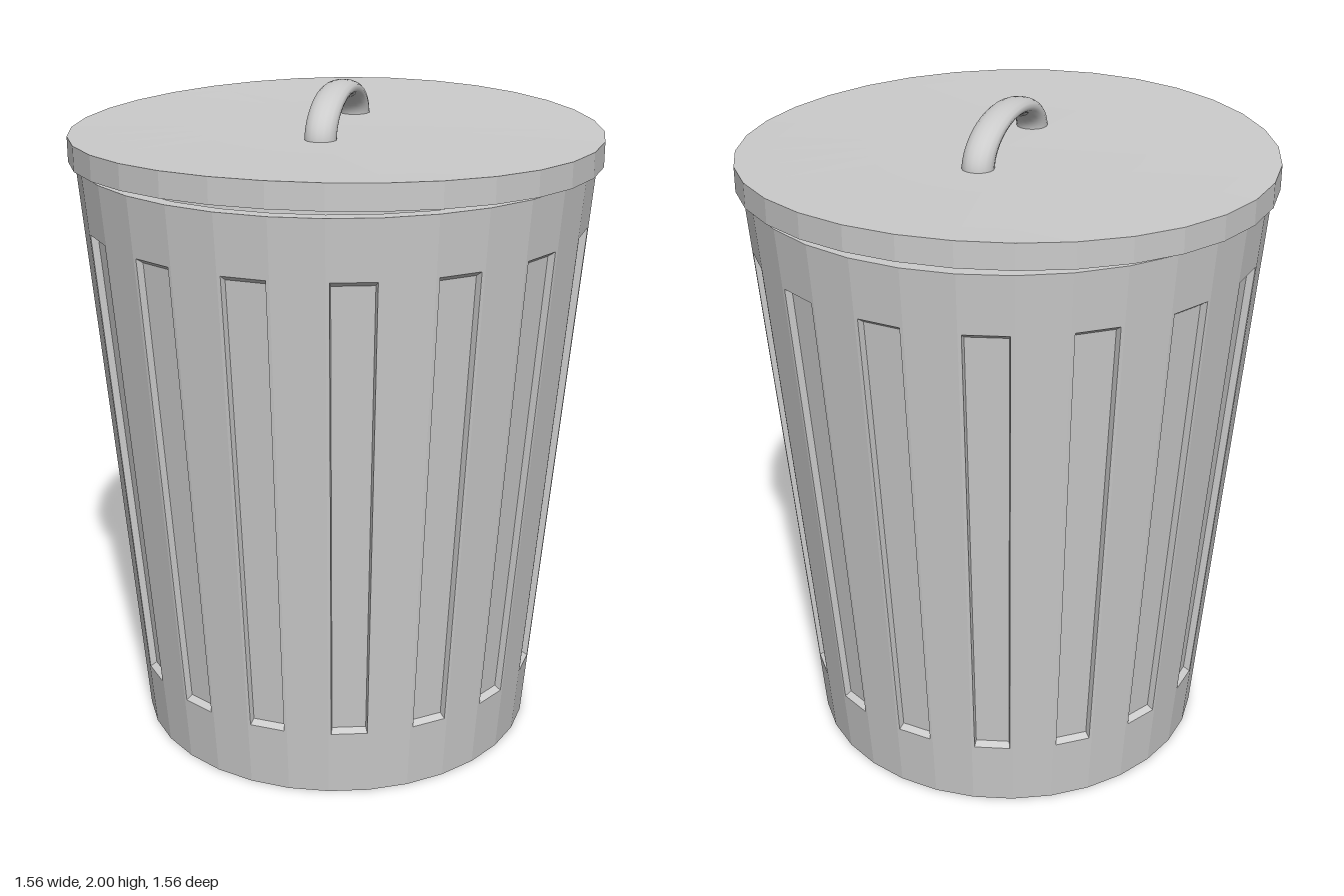
import * as THREE from 'three';

const SIDES = 32, BODY_H = 1.785, R_BOTTOM = 0.61, R_TOP = 0.76;

const flat = () => new THREE.MeshStandardMaterial({ color: 0xcccccc, flatShading: true });

function addMesh(parent, name, geometry, material) {
  const mesh = new THREE.Mesh(geometry, material);
  mesh.name = name;
  parent.add(mesh);
  return mesh;
}

const lathe = (points) =>
  new THREE.LatheGeometry(points.map(([r, y]) => new THREE.Vector2(r, y)), SIDES);

// Tapered wall of flat facets; every second facet holds a bevelled recess
function wallGeometry() {
  const out = [];
  const step = (Math.PI * 2) / SIDES;
  // Point on facet i: u across it, y up it, sunk inwards by depth
  const point = (i, u, y, depth = 0) => {
    const r = THREE.MathUtils.lerp(R_BOTTOM, R_TOP, y / BODY_H);
    const a = i * step, b = a + step, mid = a + step / 2;
    return [
      r * THREE.MathUtils.lerp(Math.cos(a), Math.cos(b), u) - depth * Math.cos(mid), y,
      r * THREE.MathUtils.lerp(Math.sin(a), Math.sin(b), u) - depth * Math.sin(mid),
    ];
  };
  const quad = (a, b, c, d) => out.push(...a, ...b, ...c, ...a, ...c, ...d);
  // Corners of a rectangle on a facet, counter-clockwise from outside
  const rect = (i, u0, u1, y0, y1, depth) => [
    point(i, u1, y0, depth), point(i, u0, y0, depth),
    point(i, u0, y1, depth), point(i, u1, y1, depth),
  ];
  const bridge = (p, q) => {
    for (let k = 0; k < 4; k++) {
      const n = (k + 1) % 4;
      quad(p[k], p[n], q[n], q[k]);
    }
  };
  for (let i = 0; i < SIDES; i++) {
    const edge = rect(i, 0, 1, 0, BODY_H);
    if (i % 2) {
      quad(...edge);
      continue;
    }
    const opening = rect(i, 0.07, 0.93, 0.205, 1.612);
    const floor = rect(i, 0.1, 0.9, 0.217, 1.597, 0.02);
    bridge(edge, opening);
    bridge(opening, floor);
    quad(...floor);
  }
  const g = new THREE.BufferGeometry();
  g.setAttribute('position', new THREE.Float32BufferAttribute(out, 3));
  g.computeVertexNormals();
  return g;
}

// Flat lid, slightly warped: lower towards the sides, higher at front and back
function lidGeometry() {
  const R = 0.78, low = 1.798, high = 1.871;
  const g = lathe([[0, low], [0.4, low], [R, low], [R, high], [0.68, high], [0.4, high], [0, high]]);
  const p = g.attributes.position;
  for (let i = 0; i < p.count; i++) {
    const x = p.getX(i), z = p.getZ(i);
    p.setY(i, p.getY(i) + (0.011 * (z * z - x * x)) / (R * R));
  }
  g.computeVertexNormals();
  return g;
}

export function createModel() {
  const model = new THREE.Group();
  model.name = 'trashCan';

  const body = new THREE.Group();
  body.name = 'body';
  model.add(body);
  addMesh(body, 'wall', wallGeometry(), flat());
  addMesh(body, 'base', lathe([[0, 0], [R_BOTTOM, 0]]), flat());
  addMesh(body, 'rimAndInside',
    lathe([[R_TOP, BODY_H], [0.72, BODY_H], [0.57, 0.04], [0, 0.04]]), flat());

  addMesh(model, 'lid', lidGeometry(), flat());

  // Flattened arch whose feet sink into the lid
  const sink = 0.2;
  const arch = new THREE.TorusGeometry(0.214, 0.046, 16, 40, Math.PI + 2 * sink);
  arch.rotateZ(-sink).rotateY(Math.PI / 2).scale(1, 0.52, 1).translate(0.005, 1.865, 0);
  addMesh(model, 'handle', arch, new THREE.MeshStandardMaterial({ color: 0xcccccc }));

  return model;
}
